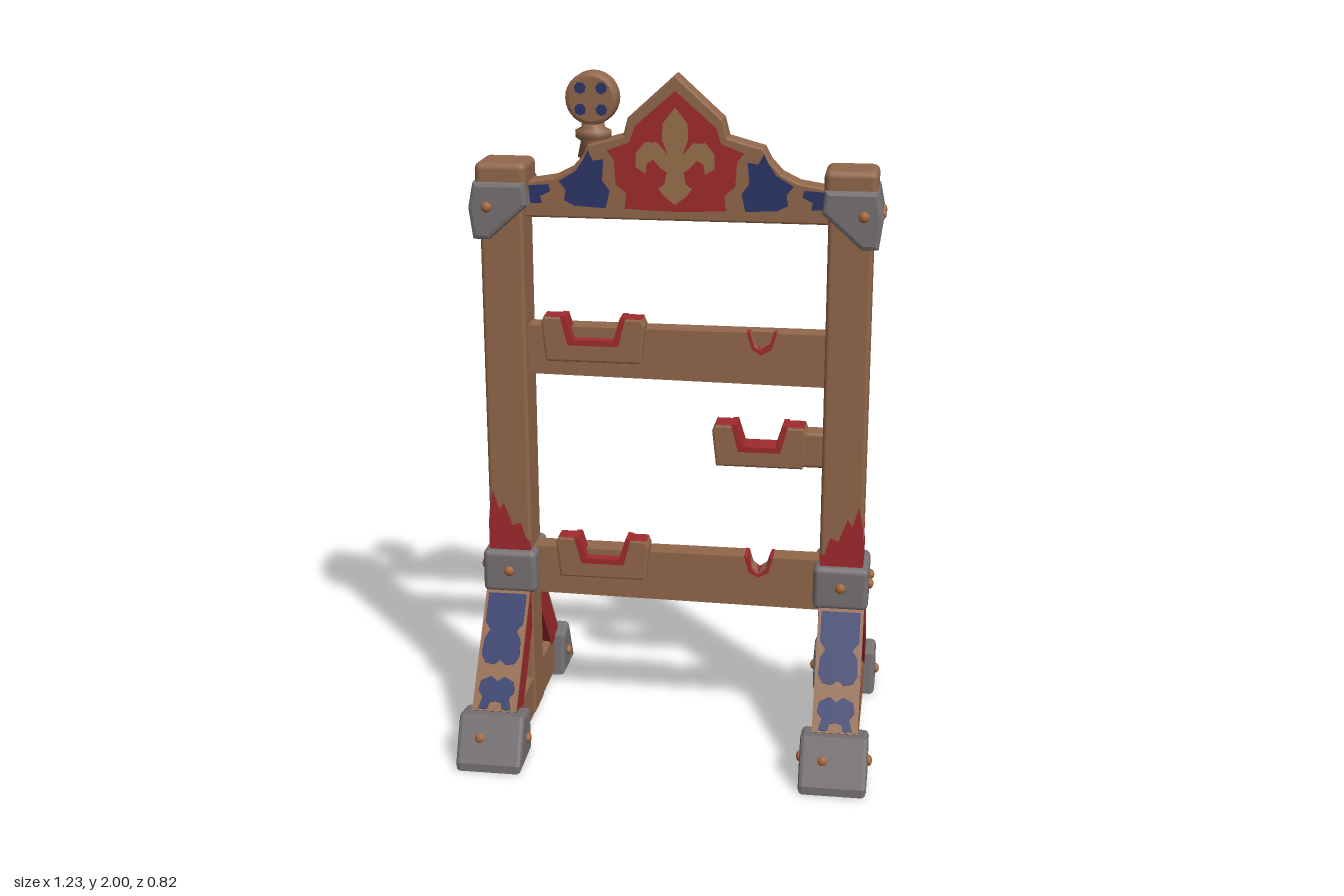
import * as THREE from 'three';
import { RoundedBoxGeometry } from 'three/addons/geometries/RoundedBoxGeometry.js';

const mat = (name, color) => {
  const m = new THREE.MeshStandardMaterial({ color });
  m.name = name;
  return m;
};

export function createModel() {
  const wood = mat('wood', 0x92674a);
  const paleWood = mat('worn wood', 0x98704c);
  const red = mat('red paint', 0xa02a2d);
  const blue = mat('blue paint', 0x2b3669);
  const metal = mat('grey metal', 0x777274);
  const copper = mat('copper rivets', 0xa8683a);

  const model = new THREE.Group();
  model.name = 'rack';

  const add = (parent, name, geo, material) => {
    const m = new THREE.Mesh(geo, material);
    m.name = name;
    parent.add(m);
    return m;
  };
  // Rounded box given by its limits
  const box = (parent, name, material, [x0, x1], [y0, y1], [z0, z1], r = 0.012) => {
    const g = new RoundedBoxGeometry(x1 - x0, y1 - y0, z1 - z0, 2, r);
    g.translate((x0 + x1) / 2, (y0 + y1) / 2, (z0 + z1) / 2);
    return add(parent, name, g, material);
  };
  // Outline extruded from z0 to z1 with a small bevel b
  const slab = (pts, z0, z1, b = 0) => {
    const shape = new THREE.Shape(pts.map(([x, y]) => new THREE.Vector2(x, y)));
    const g = new THREE.ExtrudeGeometry(shape, {
      depth: z1 - z0 - 2 * b, bevelEnabled: b > 0, bevelThickness: b,
      bevelSize: b, bevelOffset: -b, bevelSegments: 2,
    });
    return g.translate(0, 0, z0 + b);
  };
  const mirrored = (half) => [...half, ...half.filter(([x]) => x > 0).reverse().map(([x, y]) => [-x, y])];
  const flip = (pts, s) => pts.map(([x, y]) => [x * s, y]);
  const rivet = (parent, x, y, z, axis) => {
    const g = new THREE.SphereGeometry(0.016, 10, 6);
    g.scale(axis === 'x' ? 0.7 : 1, 1, axis === 'z' ? 0.7 : 1);
    add(parent, 'rivet', g.translate(x, y, z), copper);
  };

  // Two side frames: post, foot beam, braces and metal fittings
  for (const s of [-1, 1]) {
    const side = new THREE.Group();
    side.name = s > 0 ? 'leftFrame' : 'rightFrame';
    model.add(side);
    const X = (a, b) => (s > 0 ? [a, b] : [-b, -a]);

    box(side, 'post', wood, X(0.435, 0.562), [0.02, 1.72], [-0.068, 0.068]);
    box(side, 'postCap', wood, X(0.422, 0.572), [1.64, 1.75], [-0.074, 0.08], 0.02);
    box(side, 'footBeam', wood, X(0.44, 0.568), [0.015, 0.15], [-0.32, 0.32]);
    box(side, 'lowerBand', metal, X(0.418, 0.582), [0.437, 0.572], [-0.09, 0.09], 0.018);

    const bracket = [[0.575, 1.695], [0.425, 1.695], [0.418, 1.63], [0.53, 1.53], [0.578, 1.53], [0.59, 1.62]];
    add(side, 'topBracket', slab(flip(bracket, s), -0.092, 0.092, 0.012), metal);

    // Jagged red paint rising from the lower band
    const splash = [[0.437, 0.56], [0.561, 0.56], [0.561, 0.69], [0.548, 0.76], [0.53, 0.7], [0.515, 0.72], [0.49, 0.65], [0.465, 0.66], [0.45, 0.61], [0.437, 0.6]];
    for (const z of [0.066, -0.07]) add(side, 'postPaint', slab(flip(splash, s), z, z + 0.004), red);
    const sideSplash = [[-0.06, 0.56], [0.066, 0.56], [0.066, 0.66], [0.035, 0.72], [0.01, 0.65], [-0.02, 0.64], [-0.06, 0.58]];
    const wrap = slab(sideSplash, -0.002, 0.002).rotateY(-Math.PI / 2).translate(s * 0.562, 0, 0);
    add(side, 'postPaint', wrap, red);

    for (const f of [-1, 1]) {
      const end = new THREE.Group();
      end.name = f > 0 ? 'frontFoot' : 'backFoot';
      end.position.x = s * 0.505;
      if (f < 0) end.rotation.y = Math.PI;
      side.add(end);

      // Metal toe, sloped at its outer end
      const toe = [[0.25, 0.005], [0.41, 0], [0.41, 0.025], [0.345, 0.155], [0.258, 0.14]];
      add(end, 'toeCap', slab(toe, -0.098, 0.098, 0.012).rotateY(-Math.PI / 2), metal);
      for (const x of [-0.1, 0.1]) rivet(end, x, 0.07, 0.31, 'x');
      rivet(end, -0.03, 0.09, 0.374, 'z');

      // Red brace with a patterned outer face
      const brace = [[0.05, 0.489], [0.325, 0.13], [0.21, 0.13], [0.05, 0.34]];
      add(end, 'brace', slab(brace, -0.066, 0.066).rotateY(-Math.PI / 2), red);
      const face = new THREE.Group();
      face.name = 'braceFace';
      face.position.set(0, 0.3, 0.195);
      face.rotation.x = -Math.atan2(0.23, 0.3);
      end.add(face);
      add(face, 'braceFront', slab([[-0.067, -0.19], [0.067, -0.19], [0.067, 0.18], [-0.067, 0.18]], -0.004, 0.004), wood);
      const upper = [[0, -0.035], [0.018, -0.05], [0.045, -0.045], [0.058, -0.02], [0.055, 0.03], [0.04, 0.055], [0.058, 0.08], [0.058, 0.17], [0, 0.17]];
      const lower = [[0, -0.1], [0.02, -0.085], [0.05, -0.1], [0.055, -0.13], [0.04, -0.15], [0.05, -0.185], [0.022, -0.185], [0.018, -0.165], [0, -0.16]];
      for (const p of [upper, lower]) add(face, 'bracePaint', slab(mirrored(p), 0.003, 0.007), blue);
    }

    // Rivets on bands and brackets
    for (const y of [0.51, 1.625]) {
      for (const z of [-0.035, 0.035]) rivet(side, s * 0.585, y, z, 'x');
      for (const z of [-0.092, 0.092]) rivet(side, s * (y > 1 ? 0.535 : 0.5), y, z, 'z');
    }
  }

  // Crossbars with a small red-lined notch
  const bar = (name, y0, y1, throughNotch) => {
    const g = new THREE.Group();
    g.name = name;
    model.add(g);
    const d = y1 - 0.055;
    const notch = [[0.285, y1], [0.272, d + 0.015], [0.25, d], [0.23, d + 0.015], [0.218, y1]];
    const outline = [[-0.45, y0 + 0.006], [0.45, y0 - 0.004], [0.45, y1], ...notch, [-0.45, y1]];
    add(g, 'bar', slab(outline, throughNotch ? -0.035 : 0, 0.034), wood);
    if (!throughNotch) box(g, 'barBack', wood, [-0.45, 0.45], [y0, y1 + 0.001], [-0.037, 0.002], 0.006);
    const lining = [...notch, [0.208, y1 + 0.002], [0.222, d + 0.008], [0.25, d - 0.01], [0.281, d + 0.008], [0.295, y1 + 0.002]];
    add(g, 'notchLining', slab(lining, throughNotch ? -0.037 : 0, 0.037), red);
  };
  bar('middleBar', 1.115, 1.267, false);
  bar('lowerBar', 0.418, 0.573, true);

  // U-shaped cradles, painted red inside
  const cradle = (name, x0, x1, y0, y1, z0, z1) => {
    const g = new THREE.Group();
    g.name = name;
    g.position.set((x0 + x1) / 2, y0, 0);
    model.add(g);
    const w = (x1 - x0) / 2, h = y1 - y0, n = w - 0.068, m = n - 0.022, b = h * 0.47;
    add(g, 'cradleBody', slab(mirrored([[m, b], [n, h], [w - 0.008, h], [w, h - 0.02], [w - 0.012, 0]]), z0, z1, 0.007), wood);
    const lining = mirrored([[m - 0.003, b + 0.004], [n - 0.004, h + 0.003], [n + 0.012, h + 0.003], [m + 0.012, b - 0.012]]);
    add(g, 'cradleLining', slab(lining, z0 - 0.002, z1 + 0.002), red);
    // Red tops of the prongs
    for (const s of [-1, 1]) {
      const c = s * (n + w) / 2;
      box(g, 'prongTop', red, [c - 0.026, c + 0.026], [h - 0.005, h + 0.002], [z0 + 0.004, z1 - 0.004], 0.002);
    }
    return g;
  };
  cradle('middleCradle', -0.39, -0.085, 1.168, 1.303, 0.005, 0.065);
  cradle('lowerCradle', -0.36, -0.075, 0.49, 0.618, 0.005, 0.065);
  cradle('sideCradle', 0.108, 0.388, 0.855, 0.983, -0.045, 0.03);
  box(model, 'sideCradleArm', wood, [0.36, 0.45], [0.86, 0.968], [-0.045, 0.025], 0.01);

  // Peaked crest between the post tops
  const crest = new THREE.Group();
  crest.name = 'crest';
  model.add(crest);
  const crestHalf = [[0, 2.0], [0.135, 1.878], [0.148, 1.828], [0.205, 1.812], [0.25, 1.8], [0.268, 1.765], [0.3, 1.73], [0.35, 1.705], [0.44, 1.69], [0.44, 1.588]];
  add(crest, 'crestBoard', slab(mirrored(crestHalf), -0.038, 0.035, 0.006), wood);
  const shield = [[0, 1.955], [0.115, 1.855], [0.13, 1.81], [0.195, 1.785], [0.175, 1.76], [0.17, 1.69], [0.14, 1.665], [0.145, 1.62], [0, 1.615]];
  const emblem = [[0, 1.91], [0.035, 1.865], [0.037, 1.82], [0.02, 1.775], [0.05, 1.81], [0.085, 1.812], [0.112, 1.78], [0.112, 1.74], [0.085, 1.722], [0.08, 1.752], [0.062, 1.762], [0.04, 1.738], [0.024, 1.728], [0.03, 1.695], [0.048, 1.68], [0.03, 1.658], [0, 1.635]];
  const patch = [[0.25, 1.785], [0.235, 1.755], [0.205, 1.76], [0.21, 1.7], [0.188, 1.67], [0.2, 1.62], [0.29, 1.625], [0.32, 1.64], [0.315, 1.67], [0.335, 1.695], [0.285, 1.725], [0.262, 1.76]];
  const corner = [[0.365, 1.685], [0.36, 1.665], [0.39, 1.65], [0.385, 1.63], [0.43, 1.63], [0.43, 1.68]];
  for (const f of [-1, 1]) {
    const z = f > 0 ? 0.035 : -0.038;
    const layer = (name, pts, t, m) => add(crest, name, slab(pts, z - t, z + t), m);
    layer('redShield', mirrored(shield), 0.002, red);
    layer('lilyEmblem', mirrored(emblem), 0.004, paleWood);
    for (const s of [-1, 1]) {
      layer('bluePatch', flip(patch, s), 0.002, blue);
      layer('blueCorner', flip(corner, s), 0.002, blue);
    }
  }

  // Round finial on a collared neck
  const finial = new THREE.Group();
  finial.name = 'finial';
  finial.position.set(-0.24, 0, -0.004);
  model.add(finial);
  const neck = [[0, 1.76], [0.046, 1.76], [0.036, 1.805], [0.052, 1.818], [0.052, 1.836], [0.034, 1.845], [0.03, 1.88], [0, 1.88]];
  const neckGeo = new THREE.LatheGeometry(neck.map(([x, y]) => new THREE.Vector2(x, y)), 16);
  add(finial, 'finialNeck', neckGeo.scale(1, 1, 0.85), wood);
  const disc = [];
  for (let i = 0; i < 28; i++) {
    const a = (i / 28) * Math.PI * 2;
    disc.push([0.075 * Math.cos(a), 1.928 + 0.075 * Math.sin(a)]);
  }
  add(finial, 'finialDisc', slab(disc, -0.034, 0.034, 0.012), wood);
  for (const z of [-0.034, 0.034]) {
    for (let i = 0; i < 4; i++) {
      const spot = new THREE.CylinderGeometry(0.017, 0.017, 0.005, 7).rotateX(Math.PI / 2);
      const a = Math.PI / 4 + (i * Math.PI) / 2;
      add(finial, 'finialSpot', spot.translate(0.043 * Math.cos(a), 1.928 + 0.043 * Math.sin(a), z), blue);
    }
  }
  return model;
}
